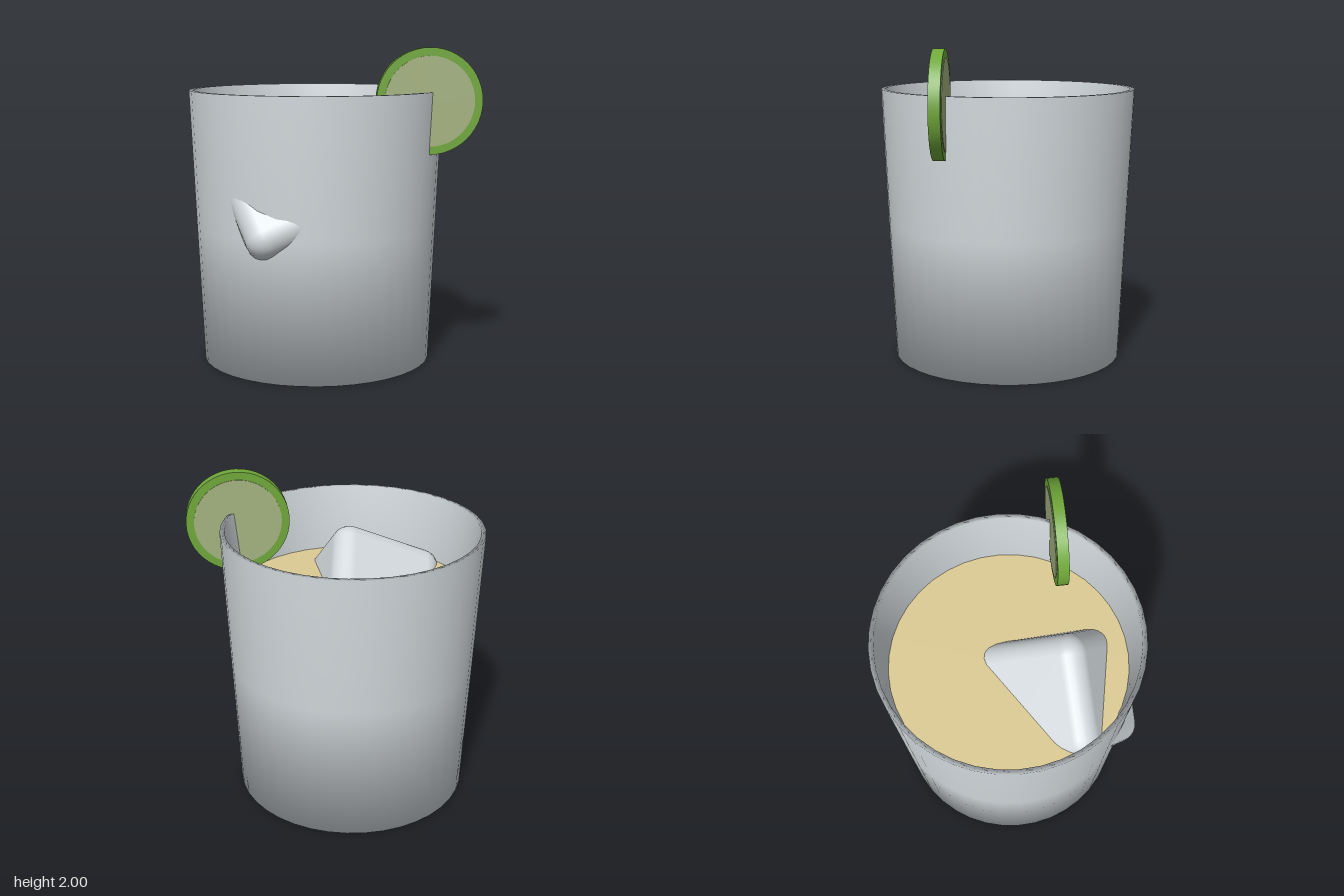
import * as THREE from 'three';
import { RoundedBoxGeometry } from 'three/addons/geometries/RoundedBoxGeometry.js';

const material = (name, color) => {
  const m = new THREE.MeshStandardMaterial({ color });
  m.name = name;
  return m;
};

export function createModel() {
  const glassGrey = material('clear glass grey', 0xd2d8dc);
  const drinkGold = material('pale gold drink', 0xdccb94);
  const rindGreen = material('lime rind green', 0x70a83a);
  const pulpGreen = material('lime pulp green', 0xa5b381);

  const model = new THREE.Group();
  const add = (parent, name, geometry, mat) => {
    const mesh = new THREE.Mesh(geometry, mat);
    mesh.name = name;
    parent.add(mesh);
    return mesh;
  };

  // Tumbler: tapered wall with a thin rim and a thick base
  const profile = [
    [0, 0], [0.73, 0], [0.768, 0.87], [0.805, 1.73],
    [0.775, 1.73], [0.735, 1.31], [0.68, 0.1], [0, 0.1],
  ].map(([r, y]) => new THREE.Vector2(r, y));
  const tumbler = new THREE.Group();
  tumbler.name = 'tumbler';
  tumbler.position.set(-0.137, 0, -0.01);
  model.add(tumbler);
  add(tumbler, 'glassWall', new THREE.LatheGeometry(profile, 40), glassGrey);

  // Drink filling the tumbler
  const drink = add(tumbler, 'drink', new THREE.CylinderGeometry(0.74, 0.69, 1.2, 40), drinkGold);
  drink.position.y = 0.71;

  // Tilted ice cube: one corner above the drink, one through the front wall
  const down = new THREE.Vector3(0.56, -0.77, 0.3).normalize();
  const side = new THREE.Vector3(-0.79, -0.38, 0.48);
  side.addScaledVector(down, -side.dot(down)).normalize();
  const back = new THREE.Vector3().crossVectors(down, side);
  const ice = add(model, 'iceCube', new RoundedBoxGeometry(0.75, 0.75, 0.75, 3, 0.12), glassGrey);
  ice.quaternion.setFromRotationMatrix(new THREE.Matrix4().makeBasis(down, side, back));
  ice.position.set(-0.12, 1.05, 0.31);

  // Lime slice straddling the rim, with thin pulp faces on both sides
  const lime = new THREE.Group();
  lime.name = 'limeSlice';
  lime.position.set(0.632, 1.675, -0.01);
  lime.rotation.y = 0.5;
  model.add(lime);
  add(lime, 'limeRind', new THREE.CylinderGeometry(0.325, 0.325, 0.07, 48).rotateX(Math.PI / 2), rindGreen);
  for (const s of [-1, 1]) {
    const pulp = add(lime, s > 0 ? 'limePulpFront' : 'limePulpBack',
      new THREE.CylinderGeometry(0.275, 0.275, 0.006, 48).rotateX(Math.PI / 2), pulpGreen);
    pulp.position.z = s * 0.036;
  }

  return model;
}
